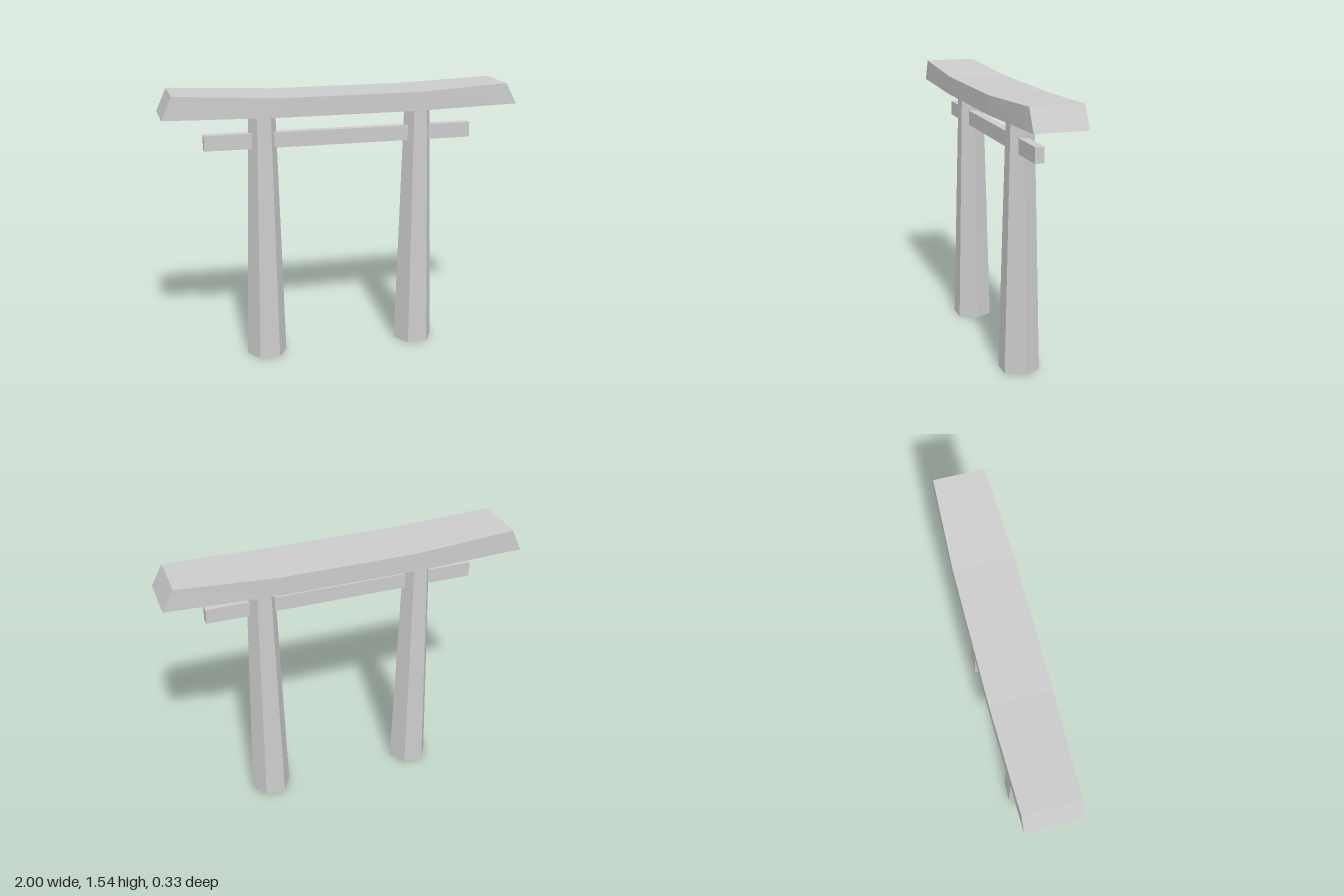
import * as THREE from 'three';

const material = new THREE.MeshStandardMaterial({ color: 0xcccccc, flatShading: true });

function addMesh(parent, name, geometry, x = 0, y = 0, z = 0) {
  const mesh = new THREE.Mesh(geometry, material);
  mesh.name = name;
  mesh.position.set(x, y, z);
  parent.add(mesh);
}

// Loft of rectangular sections running along x, capped at both ends
function loftBeam(sections) {
  const positions = [];
  const index = [];
  for (const s of sections) {
    positions.push(
      s.bottom[0], s.bottom[1], s.front,
      s.bottom[0], s.bottom[1], s.back,
      s.top[0], s.top[1], s.back,
      s.top[0], s.top[1], s.front
    );
  }
  const quad = (a, b, c, d) => index.push(a, b, c, a, c, d);
  for (let i = 0; i < sections.length - 1; i++) {
    for (let j = 0; j < 4; j++) {
      const a = i * 4 + j;
      const b = i * 4 + (j + 1) % 4;
      quad(a, b, b + 4, a + 4);
    }
  }
  const e = (sections.length - 1) * 4;
  quad(3, 2, 1, 0);
  quad(e, e + 1, e + 2, e + 3);
  const indexed = new THREE.BufferGeometry();
  indexed.setAttribute('position', new THREE.Float32BufferAttribute(positions, 3));
  indexed.setIndex(index);
  const geometry = indexed.toNonIndexed();
  geometry.computeVertexNormals();
  return geometry;
}

export function createModel() {
  const gate = new THREE.Group();
  gate.name = 'gate';

  // Tapered six-sided pillars, with corners pointing along x
  const height = 1.413;
  for (const [name, x] of [['rightPillar', -0.445], ['leftPillar', 0.45]]) {
    const pillar = new THREE.CylinderGeometry(0.076, 0.115, height, 6);
    pillar.rotateY(Math.PI / 6);
    addMesh(gate, name, pillar, x, height / 2, 0.01);
  }

  // Thin tie beam passing through both pillars
  addMesh(gate, 'tieBeam', new THREE.BoxGeometry(1.53, 0.085, 0.05), -0.005, 1.263, 0.016);

  // Top lintel: narrower, raised and undercut towards its ends
  addMesh(gate, 'topLintel', loftBeam([
    { bottom: [-1, 1.42], top: [-0.943, 1.545], front: 0.147, back: -0.153 },
    { bottom: [-0.4, 1.41], top: [-0.36, 1.515], front: 0.163, back: -0.166 },
    { bottom: [0.4, 1.41], top: [0.4, 1.515], front: 0.163, back: -0.166 },
    { bottom: [1, 1.42], top: [0.937, 1.538], front: 0.138, back: -0.145 }
  ]));

  return gate;
}
